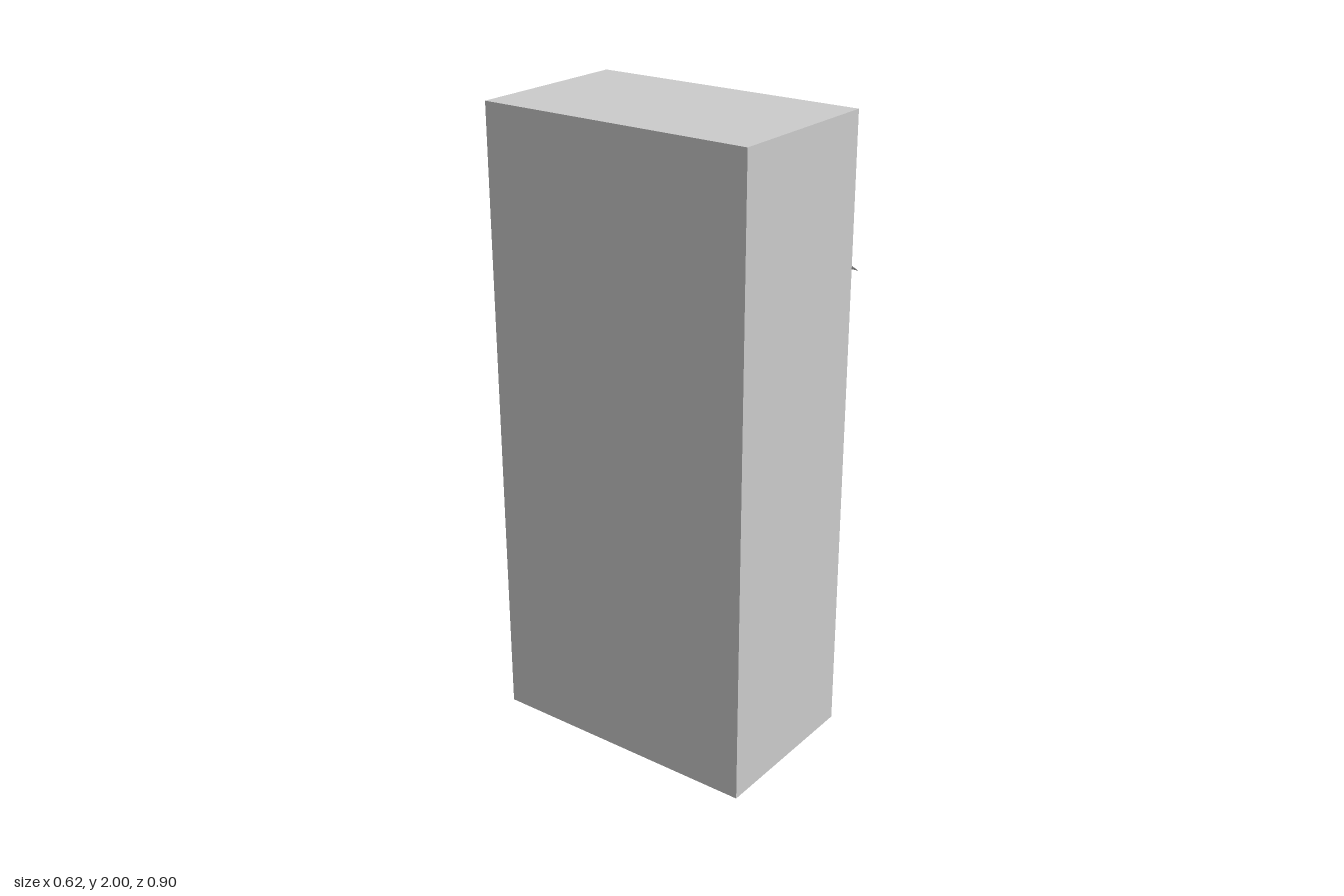
import * as THREE from 'three';

const FACE = 0.235, PANEL = 0.21, BACK = -0.31;
const HALF = 0.45, HEIGHT = 2;

// Rounded rectangle, centred on u = 0, between two heights
function roundedRect(target, halfW, y0, y1, r) {
  target.moveTo(-halfW + r, y0);
  target.lineTo(halfW - r, y0);
  target.quadraticCurveTo(halfW, y0, halfW, y0 + r);
  target.lineTo(halfW, y1 - r);
  target.quadraticCurveTo(halfW, y1, halfW - r, y1);
  target.lineTo(-halfW + r, y1);
  target.quadraticCurveTo(-halfW, y1, -halfW, y1 - r);
  target.lineTo(-halfW, y0 + r);
  target.quadraticCurveTo(-halfW, y0, -halfW + r, y0);
  return target;
}

export function createModel() {
  const group = new THREE.Group();
  const material = new THREE.MeshStandardMaterial({ color: 0xcccccc, flatShading: true });
  const sheet = material.clone();
  sheet.side = THREE.DoubleSide;

  function add(name, geometry, x = 0, y = 0, z = 0, mat = material) {
    const mesh = new THREE.Mesh(geometry, mat);
    mesh.name = name;
    mesh.position.set(x, y, z);
    group.add(mesh);
    return mesh;
  }

  // Cabinet body; its +x face forms the recessed door panels
  add('cabinetBody', new THREE.BoxGeometry(PANEL - BACK, HEIGHT, HALF * 2),
    (PANEL + BACK) / 2, HEIGHT / 2, 0);

  // Openings: six narrow slots above one large door
  const openings = [{ y0: 0.015, y1: 0.737, knobY: 0.405, radius: 0.062, sides: 8 }];
  for (let i = 0; i < 6; i++) {
    const y1 = 1.99 - i * 0.209;
    openings.push({ y0: y1 - 0.18, y1, knobY: y1 - 0.097, radius: 0.035, sides: 12 });
  }

  // Frame standing proud of the panels
  const outline = new THREE.Shape();
  outline.moveTo(-HALF, 0);
  outline.lineTo(HALF, 0);
  outline.lineTo(HALF, HEIGHT);
  outline.lineTo(-HALF, HEIGHT);
  outline.closePath();
  for (const o of openings) {
    outline.holes.push(roundedRect(new THREE.Path(), 0.432, o.y0, o.y1, 0.008));
  }
  const frame = new THREE.ExtrudeGeometry(outline,
    { depth: FACE - PANEL, bevelEnabled: false, curveSegments: 3 });
  frame.rotateY(Math.PI / 2);
  add('doorFrame', frame, PANEL);

  // Knobs, kept within the depth of the frame
  openings.forEach((o, i) => {
    const knob = new THREE.CylinderGeometry(o.radius, o.radius, 0.023, o.sides);
    knob.rotateZ(-Math.PI / 2);
    add(i === 0 ? 'doorKnob' : 'slotKnob' + i, knob, PANEL + 0.0115, o.knobY, 0.334);
  });

  // Thin open flap hinged at the top of the third slot
  const dx = 0.31 - PANEL, dy = -0.063;
  const flap = new THREE.PlaneGeometry(Math.hypot(dx, dy), 0.86);
  flap.rotateX(-Math.PI / 2);
  flap.rotateZ(Math.atan2(dy, dx));
  add('slotFlap', flap, PANEL + dx / 2, 1.568 + dy / 2, 0, sheet);

  return group;
}
